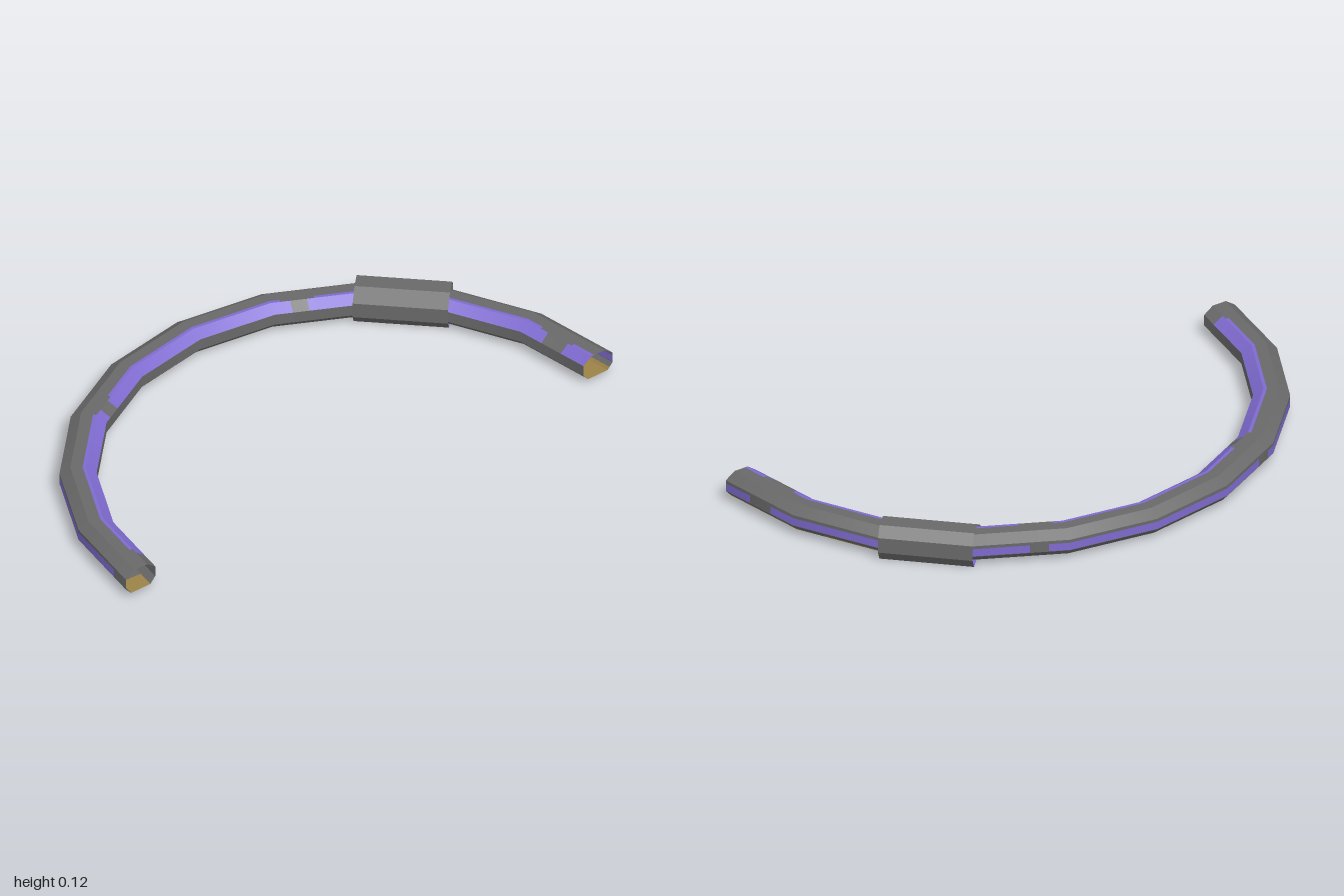
import * as THREE from 'three';

const paint = (name, color) => {
  const m = new THREE.MeshStandardMaterial({ color, side: THREE.DoubleSide });
  m.name = name;
  return m;
};

// Cross-sections as [radius, height], counterclockwise from the outer face
const TUBE = [[1, 0.042], [1, 0.081], [0.965, 0.105], [0.914, 0.105],
  [0.88, 0.081], [0.88, 0.042], [0.9, 0.02], [0.98, 0.02]];
const SLEEVE = [[1.005, 0.036], [1.005, 0.09], [0.975, 0.122], [0.915, 0.122],
  [0.862, 0.09], [0.862, 0.036], [0.89, 0], [0.98, 0]];
const OUTER = 0, TOP = 2, INNER_SLOPE = 3, BOTTOM = 6, LOWER_SLOPE = 7;
const STEP = 18; // degrees per straight segment of the arc
const rad = THREE.MathUtils.degToRad;

// Point on the ten-segment half ring
function onArc(deg, [r, y]) {
  const i = Math.min(Math.floor(deg / STEP), 9);
  const at = (k) => {
    const a = rad(k * STEP);
    return new THREE.Vector3(0.5 - r * Math.sin(a), y, r * Math.cos(a));
  };
  return at(i).lerp(at(i + 1), deg / STEP - i);
}

// Point on the straight sleeve, s along its axis
function onSleeve(s, [r, y]) {
  const k = Math.SQRT1_2;
  return new THREE.Vector3(0.5 - k * r + k * s, y, -k * r - k * s);
}

const arcHeading = (deg) => rad(deg);
const sleeveHeading = () => rad(135);
const mix = (a, b, v) => [a[0] + (b[0] - a[0]) * v, a[1] + (b[1] - a[1]) * v];
const newSurface = () => ({ positions: [], normals: [] });

// One strip between profile points a and b, smooth along its length
function addStrip(out, place, heading, a, b, stations) {
  const length = Math.hypot(b[0] - a[0], b[1] - a[1]);
  const nr = (b[1] - a[1]) / length, ny = (a[0] - b[0]) / length;
  for (let i = 0; i < stations.length - 1; i++) {
    const [t0, t1] = [stations[i], stations[i + 1]];
    for (const [t, p] of [[t0, a], [t0, b], [t1, b], [t0, a], [t1, b], [t1, a]]) {
      const angle = heading(t);
      out.positions.push(...place(t, p).toArray());
      out.normals.push(-nr * Math.sin(angle), ny, nr * Math.cos(angle));
    }
  }
}

// Stations from one angle to another, including the bends between them
function bends(from, to) {
  const list = [from];
  for (let d = 0; d <= 180; d += STEP) if (d > from && d < to) list.push(d);
  return [...list, to];
}

function toMesh(name, surface, material) {
  const g = new THREE.BufferGeometry();
  g.setAttribute('position', new THREE.Float32BufferAttribute(surface.positions, 3));
  g.setAttribute('normal', new THREE.Float32BufferAttribute(surface.normals, 3));
  const mesh = new THREE.Mesh(g, material);
  mesh.name = name;
  return mesh;
}

export function createModel() {
  const grey = paint('grey casing', 0x696969);
  const purple = paint('purple inlay', 0x7e6acf);
  const gold = paint('worn gold', 0x9c8248);
  const model = new THREE.Group();
  model.name = 'curvedTube';

  // Coloured stretches along the arc, in degrees from the front end
  const inlays = [[4.6, 56], [59.5, 112], [115.5, 168], [173.5, 180]];
  const lips = [[6, 54], [61, 110], [117, 166], [174.5, 180]];
  const worn = [[0, 4], [10, 15], [37.5, 44], [73.5, 81], [84, 90], [112, 117],
    [148, 156], [161, 180]];
  const scuffs = [[12, 15], [19, 24], [144, 156], [161, 180]];

  const casing = newSurface(), inlay = newSurface(), wear = newSurface();
  // Side face with coloured spans over part of its width, v0 to v1
  function addSide(side, spans = [], target = casing, v0 = 0, v1 = 1) {
    const a = TUBE[side], b = TUBE[(side + 1) % TUBE.length];
    const strip = (out, from, to, p, q) =>
      addStrip(out, onArc, arcHeading, mix(a, b, p), mix(a, b, q), bends(from, to));
    let last = 0;
    for (const [from, to] of spans) {
      if (from > last) strip(casing, last, from, 0, 1);
      if (v0 > 0) strip(casing, from, to, 0, v0);
      strip(target, from, to, v0, v1);
      if (v1 < 1) strip(casing, from, to, v1, 1);
      last = to;
    }
    if (last < 180) strip(casing, last, 180, 0, 1);
  }

  // Open-ended tube
  TUBE.forEach((_, side) => {
    if (side === OUTER) addSide(side, inlays, inlay, 0.04, 0.72);
    else if (side === TOP) addSide(side, lips, inlay, 0.78, 1);
    else if (side === INNER_SLOPE) addSide(side, inlays, inlay);
    else if (side === BOTTOM) addSide(side, worn, wear);
    else if (side === LOWER_SLOPE) addSide(side, scuffs, wear, 0, 0.4);
    else addSide(side);
  });
  model.add(toMesh('tubeCasing', casing, grey));
  model.add(toMesh('tubeInlays', inlay, purple));
  model.add(toMesh('tubeWornPatches', wear, gold));

  // Straight sleeve around one segment, with a coloured underside
  const shell = newSurface(), underside = newSurface();
  SLEEVE.forEach((a, side) => {
    const b = SLEEVE[(side + 1) % SLEEVE.length];
    const target = side === BOTTOM ? underside : shell;
    addStrip(target, onSleeve, sleeveHeading, a, b, [-0.155, 0.155]);
  });
  const sleeve = new THREE.Group();
  sleeve.name = 'sleeve';
  sleeve.add(toMesh('sleeveShell', shell, grey), toMesh('sleeveUnderside', underside, purple));
  model.add(sleeve);

  return model;
}
